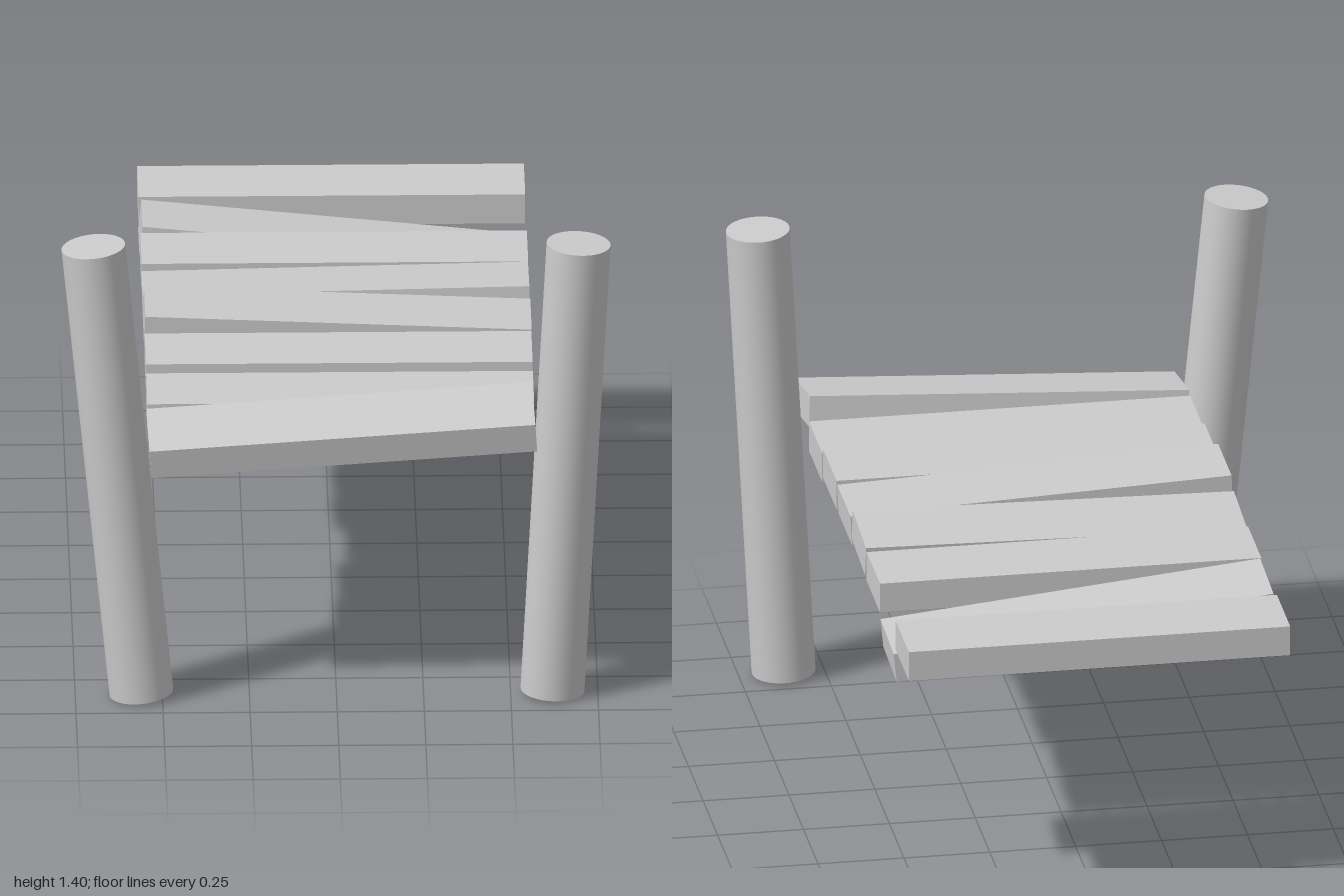
import * as THREE from 'three';

export function createModel() {
  const model = new THREE.Group();
  const wood = new THREE.MeshStandardMaterial({ color: 0xcccccc });

  // Deck of loose planks, back to front: height and small tilts of each
  const planks = [
    { y: 0.82 },
    { y: 0.768, rx: -0.05, rz: -0.101 },
    { y: 0.82 },
    { y: 0.825, rx: -0.085, rz: 0.019 },
    { y: 0.84, rz: -0.043 },
    { y: 0.82 },
    { y: 0.80 },
    { y: 0.817, rx: 0.17, ry: 0.026, rz: 0.058 },
  ];
  const deck = new THREE.Group();
  deck.name = 'deck';
  const plankGeometry = new THREE.BoxGeometry(1.11, 0.09, 0.23);
  planks.forEach(({ y, rx = 0, ry = 0, rz = 0 }, i) => {
    const plank = new THREE.Mesh(plankGeometry, wood);
    plank.name = `plank${i + 1}`;
    plank.position.set(0.015, y, -0.885 + i * 0.249);
    plank.rotation.set(rx, ry, rz);
    deck.add(plank);
  });
  model.add(deck);

  // Leaning round posts at the front corners
  function addPost(name, bottomX, topX) {
    const bottom = new THREE.Vector3(bottomX, 0.009, 0.863);
    const top = new THREE.Vector3(topX, 1.395, 0.863);
    const axis = top.clone().sub(bottom);
    const post = new THREE.Mesh(new THREE.CylinderGeometry(0.092, 0.092, axis.length(), 32), wood);
    post.name = name;
    post.position.copy(bottom).add(top).multiplyScalar(0.5);
    post.quaternion.setFromUnitVectors(new THREE.Vector3(0, 1, 0), axis.normalize());
    model.add(post);
  }
  addPost('rightPost', -0.56, -0.698);
  addPost('leftPost', 0.62, 0.695);

  return model;
}
